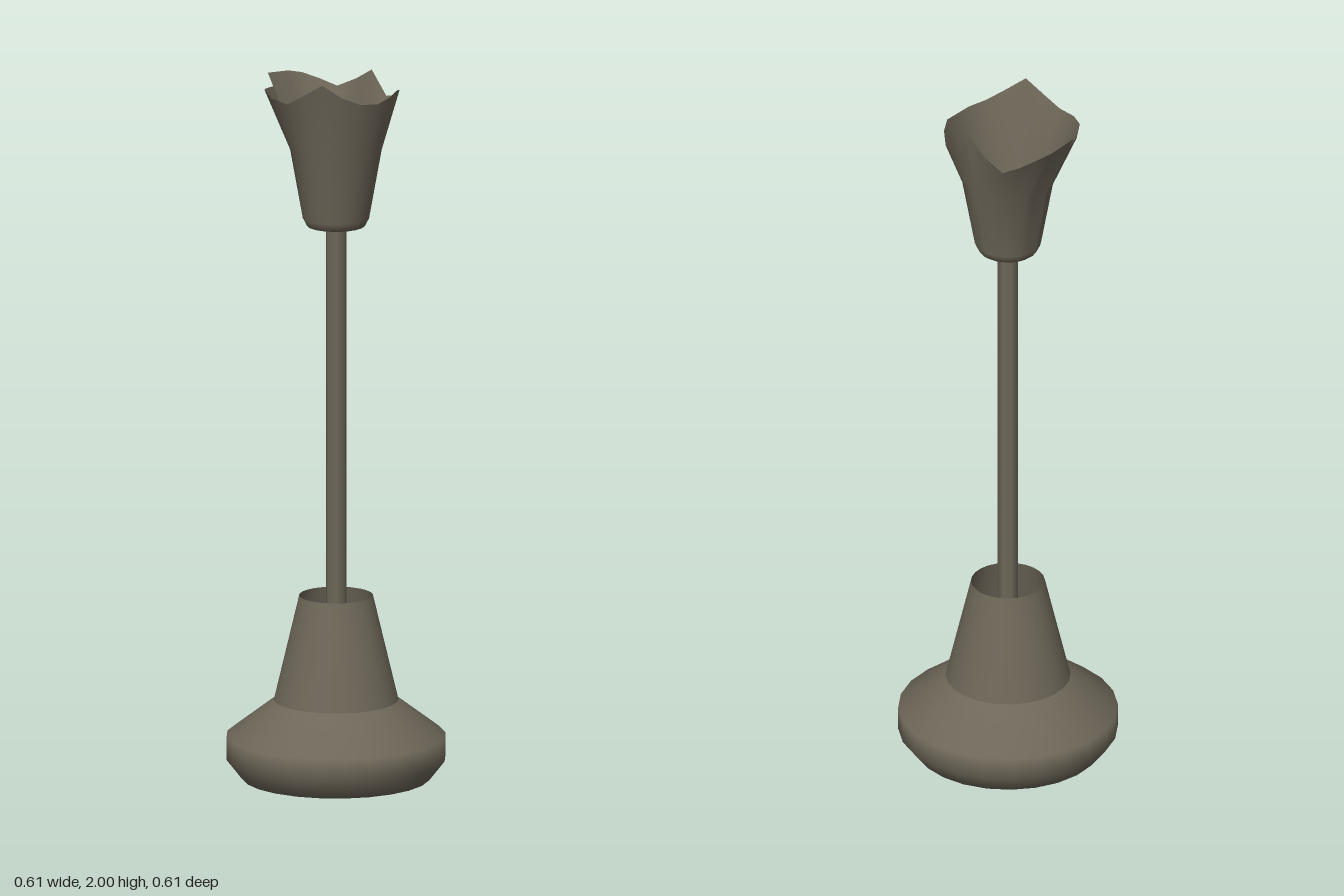
import * as THREE from 'three';

const metal = new THREE.MeshStandardMaterial({ color: 0x6e6759, side: THREE.DoubleSide });
metal.name = 'dull bronze';

function part(name, geometry) {
  const mesh = new THREE.Mesh(geometry, metal);
  mesh.name = name;
  return mesh;
}

function lathe(points, sides) {
  return new THREE.LatheGeometry(points.map(([r, y]) => new THREE.Vector2(r, y)), sides);
}

// Torn cup rim: x, y, z of each column's top, going once round from the back
const rim = [
  [-0.04, 1.97, -0.21], [0.05, 1.96, -0.21], [0.09, 1.95, -0.195], [0.13, 1.93, -0.165],
  [0.157, 1.91, -0.125], [0.162, 1.94, -0.06], [0.155, 1.975, 0], [0.182, 1.9, 0.03],
  [0.155, 1.915, 0.09], [0.13, 1.94, 0.12], [0.09, 1.95, 0.145], [0.035, 1.94, 0.16],
  [-0.025, 1.935, 0.17], [-0.08, 1.94, 0.155], [-0.13, 1.965, 0.125], [-0.163, 2.0, 0.085],
  [-0.176, 1.965, 0.03], [-0.187, 1.935, -0.02], [-0.175, 1.94, -0.085],
  [-0.14, 1.95, -0.14], [-0.09, 1.94, -0.175], [-0.04, 1.935, -0.19],
];

// Cup wall: round rings below, each column flaring to its own rim point
function cupGeometry() {
  const rings = [[0.028, 1.562], [0.08, 1.562], [0.092, 1.585], [0.127, 1.78]];
  const rows = rings.length + 1;
  const positions = [], index = [];
  rim.forEach(([x, y, z], i) => {
    const length = Math.hypot(x, z);
    for (const [r, h] of rings) positions.push((x / length) * r, h, (z / length) * r);
    positions.push(x, y, z);
    const next = (i + 1) % rim.length;
    for (let j = 0; j < rows - 1; j++) {
      const a = i * rows + j, b = next * rows + j;
      index.push(a, a + 1, b, b, a + 1, b + 1);
    }
  });
  const geometry = new THREE.BufferGeometry();
  geometry.setAttribute('position', new THREE.Float32BufferAttribute(positions, 3));
  geometry.setIndex(index);
  geometry.computeVertexNormals();
  return geometry;
}

export function createModel() {
  const group = new THREE.Group();
  group.name = 'pedestal';

  // Weighted foot with a flared skirt
  group.add(part('foot', lathe([[0, 0], [0.26, 0], [0.303, 0.055], [0.303, 0.12], [0.172, 0.22]], 24)));

  // Tapered sleeve, open at the top
  group.add(part('sleeve', lathe([[0.172, 0.22], [0.102, 0.515]], 24)));

  // Thin hollow stem rising out of the sleeve
  const stem = new THREE.CylinderGeometry(0.029, 0.029, 1.54, 7, 1, true);
  stem.translate(0, 0.8, 0);
  group.add(part('stem', stem));

  // Flared cup with a broken edge
  group.add(part('cup', cupGeometry()));
  return group;
}
